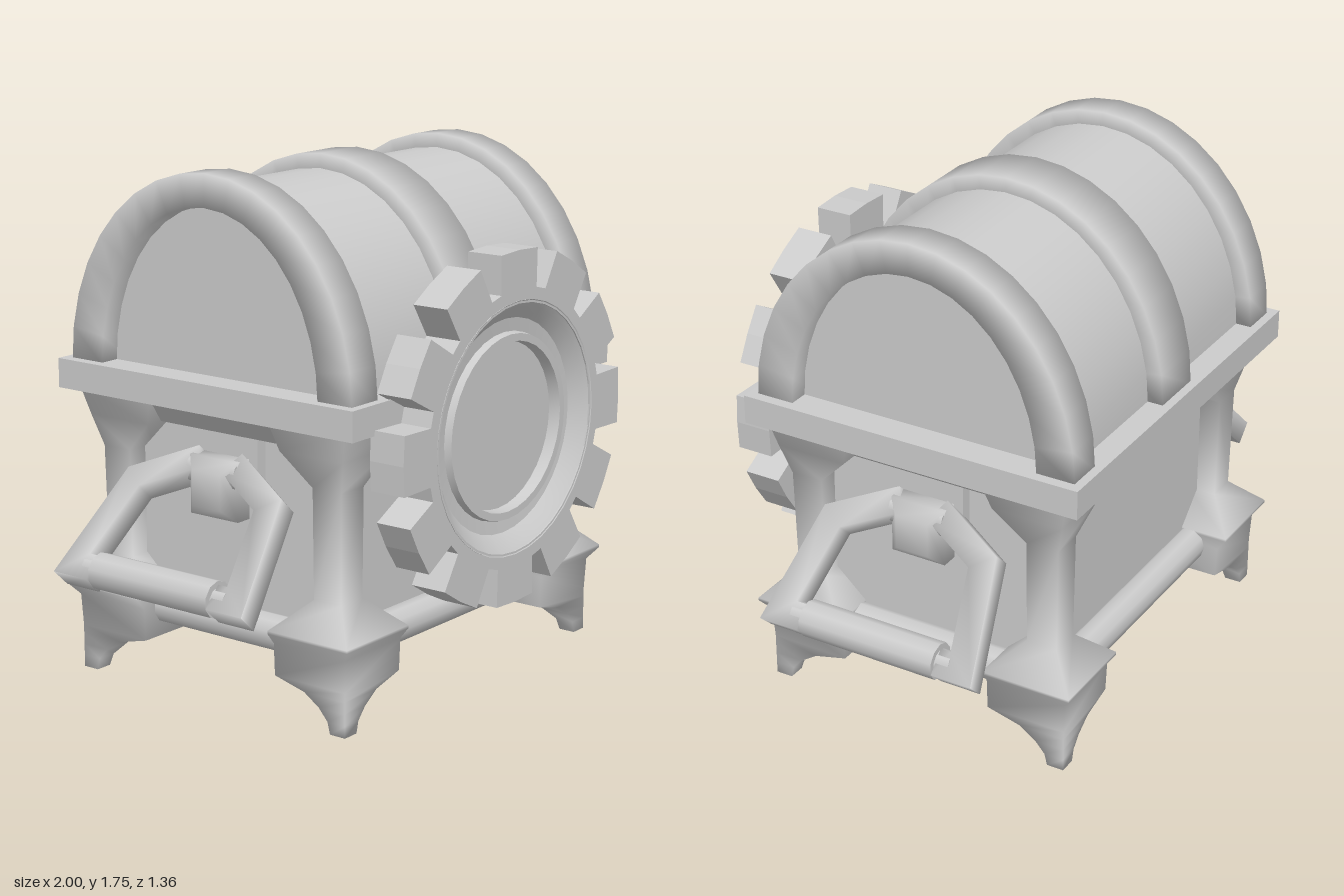
import * as THREE from 'three';
import { toCreasedNormals } from 'three/addons/utils/BufferGeometryUtils.js';

const mat = new THREE.MeshStandardMaterial({ color: 0xcccccc });
const V = (x, y, z) => new THREE.Vector3(x, y, z);

function mesh(name, geo, parent) {
  const m = new THREE.Mesh(geo, mat);
  m.name = name;
  parent.add(m);
  return m;
}

// Skin a list of equal-length rings, cap both ends and face the surface outward
function loft(rings, crease = 1.7) {
  const n = rings[0].length, pts = rings.flat(), tris = [];
  for (let i = 0; i < rings.length - 1; i++) {
    for (let j = 0; j < n; j++) {
      const a = i * n + j, b = i * n + (j + 1) % n;
      tris.push([a, b, b + n], [a, b + n, a + n]);
    }
  }
  const last = (rings.length - 1) * n;
  for (let j = 1; j < n - 1; j++) tris.push([0, j + 1, j], [last, last + j, last + j + 1]);
  let volume = 0;
  for (const [a, b, c] of tris) volume += pts[a].dot(pts[b].clone().cross(pts[c]));
  if (volume < 0) tris.forEach(t => t.reverse());
  const geo = new THREE.BufferGeometry().setFromPoints(pts);
  geo.setIndex(tris.flat());
  return toCreasedNormals(geo, crease);
}

// Horizontal rectangle
const rectY = (y, x0, x1, z0, z1) => [V(x0, y, z0), V(x1, y, z0), V(x1, y, z1), V(x0, y, z1)];

// Point on the lid arch
const LID_Y = 1.07;
const arch = (x, a, rz, ry) => V(x, LID_Y + Math.sin(a) * ry, Math.cos(a) * rz);
const ARCH_STEPS = 18;

function archBand(x0, x1) {
  const rings = [];
  for (let i = 0; i <= ARCH_STEPS; i++) {
    const a = Math.PI * i / ARCH_STEPS;
    rings.push([arch(x0, a, 0.455, 0.57), arch(x1, a, 0.455, 0.57), arch(x1, a, 0.59, 0.68), arch(x0, a, 0.59, 0.68)]);
  }
  return loft(rings);
}

function buildLid(parent) {
  const lid = new THREE.Group();
  lid.name = 'lid';
  const ring = x => Array.from({ length: ARCH_STEPS + 1 }, (_, i) => arch(x, Math.PI * i / ARCH_STEPS, 0.535, 0.63));
  mesh('lidVault', loft([ring(-0.62), ring(0.62)], 0.6), lid);
  for (const [x0, x1] of [[-0.69, -0.56], [-0.1, 0.1], [0.56, 0.69]]) mesh('lidBand', archBand(x0, x1), lid);
  parent.add(lid);
}

// Corner post from foot to flared head: height, inner and outer edge along x
const POST = [
  [0, 0.635, 0.695], [0.04, 0.625, 0.695], [0.08, 0.59, 0.695], [0.12, 0.53, 0.695],
  [0.15, 0.41, 0.695], [0.26, 0.41, 0.7], [0.3, 0.41, 0.732], [0.31, 0.41, 0.732],
  [0.41, 0.52, 0.63], [0.78, 0.52, 0.635], [0.89, 0.41, 0.665], [0.99, 0.38, 0.69],
];

function buildBody(parent) {
  const box = mesh('bodyBox', new THREE.BoxGeometry(1.12, 0.78, 0.86), parent);
  box.position.y = 0.61;
  for (const sx of [-1, 1]) {
    for (const sz of [-1, 1]) {
      const rings = POST.map(([y, i, o]) => rectY(y, sx * i, sx * o, sz * (i - 0.13), sz * (o - 0.13)));
      mesh('cornerPost', loft(rings), parent);
    }
  }
  // Rails between the feet
  for (const s of [-1, 1]) {
    const front = mesh('bottomRail', new THREE.CylinderGeometry(0.06, 0.06, 1, 10), parent);
    front.rotation.z = Math.PI / 2;
    front.position.set(0, 0.252, s * 0.46);
    const side = mesh('bottomRail', new THREE.CylinderGeometry(0.06, 0.06, 0.74, 10), parent);
    side.rotation.x = Math.PI / 2;
    side.position.set(s * 0.59, 0.252, 0);
  }
  // Moulding and rim under the lid
  mesh('moulding', loft([rectY(0.89, -0.6, 0.6, -0.47, 0.47), rectY(0.99, -0.69, 0.69, -0.56, 0.56)], 0.5), parent);
  const rim = mesh('rim', new THREE.BoxGeometry(1.454, 0.1, 1.24), parent);
  rim.position.y = 1.03;
}

function buildHandle(parent, turn) {
  const handle = new THREE.Group();
  handle.name = 'sideHandle';
  handle.rotation.y = turn;
  parent.add(handle);
  const plate = mesh('handlePlate', new THREE.BoxGeometry(0.05, 0.28, 0.27), handle);
  plate.position.set(0.575, 0.75, 0);
  const knobRing = (x, h) => [V(x, 0.72 - h, -h), V(x, 0.72 + h, -h), V(x, 0.72 + h, h), V(x, 0.72 - h, h)];
  mesh('handleKnob', loft([knobRing(0.57, 0.1), knobRing(0.66, 0.1), knobRing(0.7, 0.06)]), handle);

  // Mitred square bar along a path of (z, y) in the slanted handle plane
  const half = [[0.07, 0.785], [0.285, 0.7], [0.345, 0.45], [0.255, 0.45]];
  const slope = y => 0.93 - (y - 0.46) * 0.95;
  const across = V(1, 0.95, 0).normalize();
  for (const s of [-1, 1]) {
    const path = half.map(([z, y]) => V(slope(y), y, s * z));
    const rings = path.map((p, i) => {
      const din = path[i].clone().sub(path[Math.max(i - 1, 0)]).normalize();
      const dout = path[Math.min(i + 1, path.length - 1)].clone().sub(p).normalize();
      const t = din.clone().add(dout).normalize();
      const ref = din.lengthSq() ? din : dout;
      const side = t.clone().cross(across).normalize().multiplyScalar(0.045 / Math.max(t.dot(ref), 0.6));
      return [[-1, -1], [1, -1], [1, 1], [-1, 1]].map(([u, v]) =>
        p.clone().addScaledVector(side, u).addScaledVector(across, v * 0.042));
    });
    mesh('handleArm', loft(rings), handle);
  }
  // Joins the two arms inside the knob
  const hinge = mesh('handleHinge', new THREE.CylinderGeometry(0.05, 0.05, 0.2, 8), handle);
  hinge.rotation.x = Math.PI / 2;
  hinge.position.set(slope(0.77), 0.77, 0);
  for (const [name, r, len] of [['handleGrip', 0.062, 0.5], ['handlePin', 0.042, 0.6]]) {
    const bar = mesh(name, new THREE.CylinderGeometry(r, r, len, 10), handle);
    bar.rotation.x = Math.PI / 2;
    bar.position.set(0.935, 0.46, 0);
  }
}

function buildGear(parent) {
  const gear = new THREE.Group();
  gear.name = 'frontGear';
  gear.position.set(0, 0.9, 0.545);
  gear.scale.set(1.05, 1, 1);
  parent.add(gear);
  // Toothed outer ring
  const teeth = 12, outline = [];
  for (let i = 0; i < teeth; i++) {
    const a = i * 2 * Math.PI / teeth;
    for (const [r, w] of [[0.455, -0.095], [0.585, -0.098], [0.59, 0], [0.585, 0.098], [0.455, 0.095]]) {
      outline.push(new THREE.Vector2(r * Math.cos(a) - w * Math.sin(a), r * Math.sin(a) + w * Math.cos(a)));
    }
  }
  const shape = new THREE.Shape(outline);
  shape.holes.push(new THREE.Path().absarc(0, 0, 0.415, 0, Math.PI * 2, true));
  mesh('gearTeeth', new THREE.ExtrudeGeometry(shape, { depth: 0.13, bevelEnabled: false, curveSegments: 18 }), gear);
  // Dished ring, inner lip, centre disc and back, turned about z
  const profile = [[0, 0], [0.425, 0], [0.425, 0.132], [0.4, 0.115], [0.36, 0.08], [0.315, 0.075],
    [0.31, 0.1], [0.285, 0.1], [0.28, 0.06], [0, 0.06]].map(([r, z]) => new THREE.Vector2(r, z));
  const dish = mesh('gearDish', toCreasedNormals(new THREE.LatheGeometry(profile, 36), 0.6), gear);
  dish.rotation.x = Math.PI / 2;
}

export function createModel() {
  const model = new THREE.Group();
  model.name = 'chest';
  const chest = new THREE.Group();
  chest.name = 'chestBody';
  chest.position.z = -0.06;
  model.add(chest);
  buildBody(chest);
  buildLid(chest);
  for (const turn of [0, Math.PI]) buildHandle(chest, turn);
  buildGear(model);
  return model;
}
